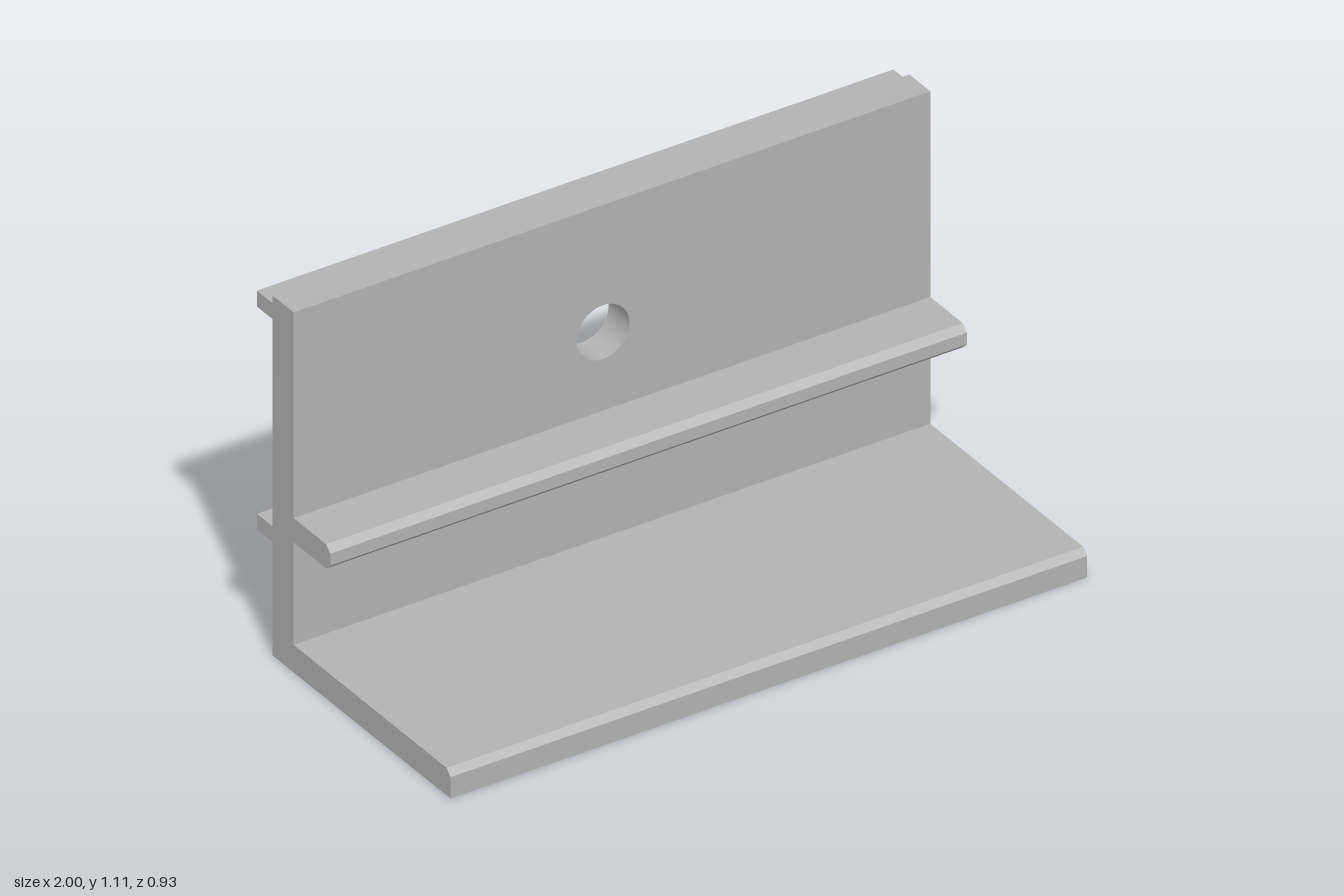
import * as THREE from 'three';

const LENGTH = 2;
const PLATE_FRONT = -0.287, PLATE_BACK = -0.387, BACK = -0.463;

// Extrudes a side profile of [z, y] points along the full length in x
function bar(name, points, material) {
  const shape = new THREE.Shape(points.map(([z, y]) => new THREE.Vector2(z, y)));
  const geometry = new THREE.ExtrudeGeometry(shape, { depth: LENGTH, bevelEnabled: false });
  geometry.translate(0, 0, -LENGTH / 2).rotateY(-Math.PI / 2);
  const mesh = new THREE.Mesh(geometry, material);
  mesh.name = name;
  return mesh;
}

export function createModel() {
  const group = new THREE.Group();
  group.name = 'angleBracket';
  const metal = new THREE.MeshStandardMaterial({ color: 0xb2b2b2 });
  metal.name = 'grey metal';

  // Upright plate with a round through-hole
  const outline = new THREE.Shape();
  outline.moveTo(-1, 0).lineTo(1, 0).lineTo(1, 1.113).lineTo(-1, 1.113).closePath();
  const hole = new THREE.Path();
  hole.absarc(-0.028, 0.72, 0.083, 0, Math.PI * 2, true);
  outline.holes.push(hole);
  const plateGeometry = new THREE.ExtrudeGeometry(outline, {
    depth: PLATE_FRONT - PLATE_BACK, bevelEnabled: false, curveSegments: 32,
  });
  plateGeometry.translate(0, 0, PLATE_BACK);
  const plate = new THREE.Mesh(plateGeometry, metal);
  plate.name = 'uprightPlate';
  group.add(plate);

  // Base flange, chamfered along its upper front edge
  group.add(bar('baseFlange', [
    [PLATE_FRONT, 0], [0.463, 0], [0.463, 0.066], [0.444, 0.085], [PLATE_FRONT, 0.085],
  ], metal));

  // Front ledge, chamfered above and below
  group.add(bar('frontLedge', [
    [PLATE_FRONT, 0.402], [-0.132, 0.402], [-0.112, 0.421],
    [-0.112, 0.458], [-0.132, 0.477], [PLATE_FRONT, 0.477],
  ], metal));

  // Two square ribs on the back
  for (const [name, low, high] of [['lowerRib', 0.35, 0.399], ['upperRib', 1.04, 1.089]]) {
    group.add(bar(name, [
      [BACK, low], [PLATE_BACK, low], [PLATE_BACK, high], [BACK, high],
    ], metal));
  }
  return group;
}
